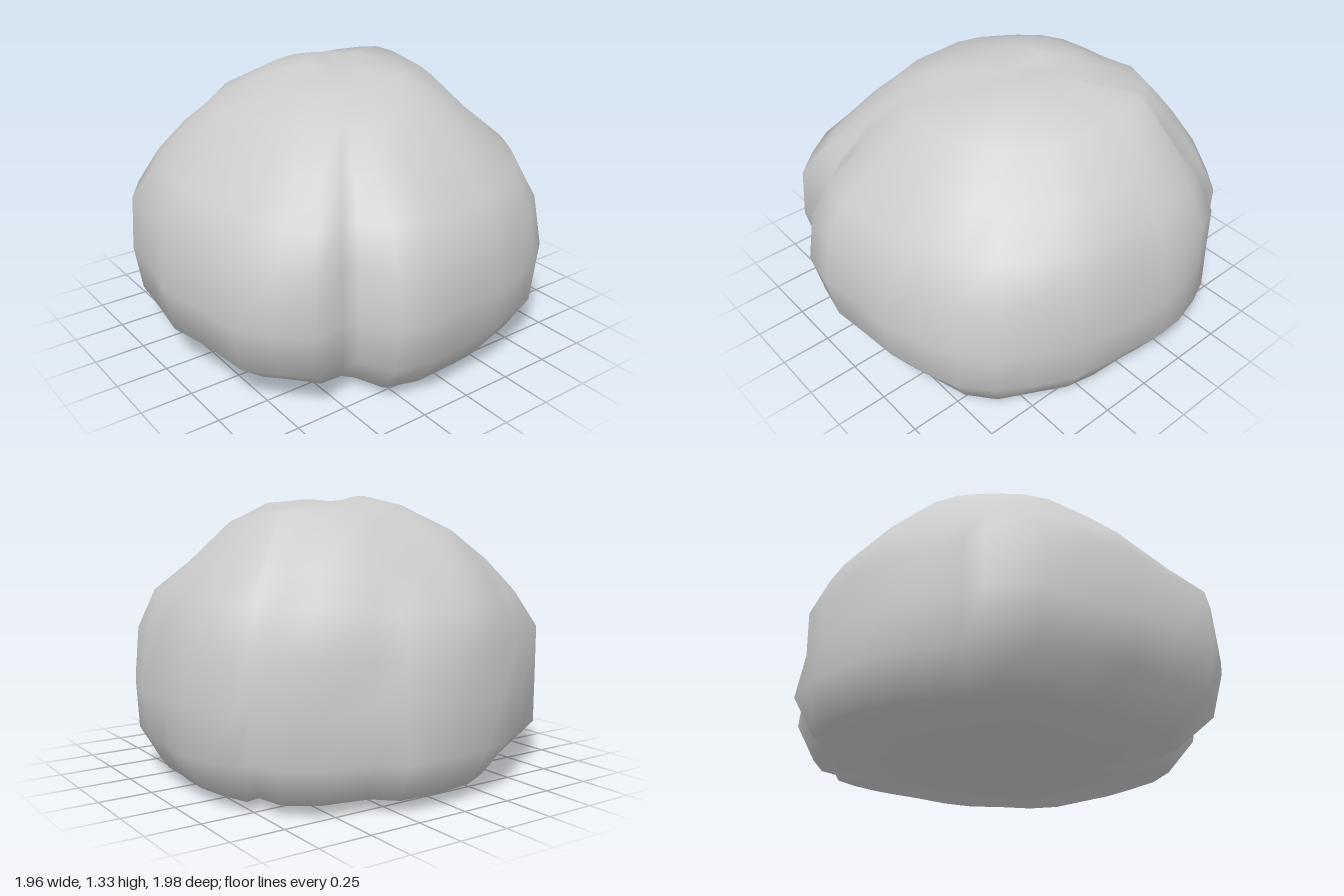
import * as THREE from 'three';

// widest outline of the boulder seen from above, [x, z]
const outline = [
  [0.96, 0], [0.98, -0.13], [0.975, -0.27], [0.93, -0.42], [0.87, -0.55], [0.80, -0.54],
  [0.77, -0.7], [0.63, -0.81], [0.38, -0.86], [0.28, -0.97], [0.05, -0.99], [-0.17, -0.95],
  [-0.35, -0.89], [-0.53, -0.8], [-0.69, -0.69], [-0.8, -0.66], [-0.93, -0.46], [-0.95, -0.22],
  [-0.98, 0], [-0.95, 0.25], [-0.92, 0.52], [-0.81, 0.67], [-0.7, 0.81], [-0.53, 0.77],
  [-0.46, 0.8], [-0.37, 0.95], [-0.17, 0.99], [0.05, 0.965], [0.23, 0.95], [0.42, 0.89],
  [0.6, 0.83], [0.74, 0.72], [0.83, 0.55], [0.91, 0.37], [0.94, 0.2],
];

// side profiles, bottom to top, [share of widest radius, y], for +x, +z, -x, -z
const profiles = [
  [[0.4, 0.03], [0.88, 0.07], [0.98, 0.24], [1, 0.46], [0.97, 0.74], [0.89, 0.92], [0.77, 1.06], [0.55, 1.25], [0.33, 1.32], [0.14, 1.34]],
  [[0.4, 0.02], [0.85, 0.06], [0.97, 0.24], [1, 0.47], [0.96, 0.7], [0.88, 0.87], [0.7, 1.06], [0.51, 1.23], [0.33, 1.3], [0.14, 1.33]],
  [[0.4, 0.02], [0.74, 0.07], [0.95, 0.22], [1, 0.45], [0.98, 0.75], [0.86, 0.91], [0.74, 1.06], [0.58, 1.19], [0.34, 1.29], [0.14, 1.33]],
  [[0.4, 0.03], [0.91, 0.08], [1, 0.26], [0.96, 0.47], [0.98, 0.68], [0.9, 0.87], [0.77, 1.03], [0.62, 1.19], [0.38, 1.32], [0.18, 1.35]],
];

// bumps and hollows: x, y, z, height, width
const lumps = [
  [0.5, 1.22, -0.35, 0.09, 0.2], [0.35, 1.15, -0.6, 0.07, 0.15], [0.5, 1.05, 0.3, -0.08, 0.2],
  [0.12, 1.33, -0.2, -0.03, 0.1], [-0.62, 1.05, 0.0, -0.04, 0.13], [-0.65, 0.9, 0.35, -0.06, 0.15],
  [-0.55, 0.04, 0.3, -0.04, 0.16], [-0.1, 0.65, 0.95, 0.02, 0.25], [-0.6, 0.08, 0.65, -0.06, 0.2],
  [0.55, 0.8, 0.7, -0.04, 0.18],
];

// blends the four profiles around the boulder
function profileAt(angle, ring) {
  const q = ((angle / (Math.PI / 2)) % 4 + 4) % 4;
  const i = Math.floor(q) % 4, t = q - Math.floor(q);
  const a = profiles[i][ring], b = profiles[(i + 1) % 4][ring];
  return [a[0] + (b[0] - a[0]) * t, a[1] + (b[1] - a[1]) * t];
}

function shapePoint(x, y, z) {
  const p = new THREE.Vector3(x, y, z);
  const out = new THREE.Vector3(x, y - 0.6, z).normalize();
  let push = 0.012 * Math.sin(9 * x + 4 * y) * Math.sin(8 * z - 5 * y);
  for (const [lx, ly, lz, height, width] of lumps) {
    const d2 = (x - lx) ** 2 + (y - ly) ** 2 + (z - lz) ** 2;
    push += height * Math.exp(-d2 / (width * width));
  }
  if (y < 0.15) push *= height01(y);
  p.addScaledVector(out, push);
  p.y = THREE.MathUtils.clamp(p.y, 0, 1.355);
  return p;
}

// fades the lumps out towards the flat underside
function height01(y) {
  return 0.4 + 4 * Math.max(y, 0);
}

export function createModel() {
  const group = new THREE.Group();
  const n = outline.length, rings = profiles[0].length;
  const positions = [], index = [];

  for (let r = 0; r < rings; r++) {
    for (const [ox, oz] of outline) {
      const angle = Math.atan2(oz, ox);
      const [share, y] = profileAt(angle, r);
      // folds soften towards the crown
      const soft = THREE.MathUtils.smoothstep(y, 0.7, 1.25);
      const wide = THREE.MathUtils.lerp(Math.hypot(ox, oz), 0.98, soft);
      const p = shapePoint(Math.cos(angle) * wide * share, y, Math.sin(angle) * wide * share);
      positions.push(p.x, p.y, p.z);
    }
  }

  // skin between rings (the outline runs anticlockwise from above)
  for (let r = 0; r < rings - 1; r++) {
    for (let i = 0; i < n; i++) {
      const j = (i + 1) % n;
      const a = r * n + i, b = r * n + j, c = a + n, d = b + n;
      index.push(a, b, d, a, d, c);
    }
  }

  // crown and underside
  const bottom = rings * n, top = bottom + 1, last = (rings - 1) * n;
  positions.push(0, 0.03, 0, 0, 1.32, 0);
  for (let i = 0; i < n; i++) {
    const j = (i + 1) % n;
    index.push(bottom, j, i, top, last + i, last + j);
  }

  const geometry = new THREE.BufferGeometry();
  geometry.setAttribute('position', new THREE.Float32BufferAttribute(positions, 3));
  geometry.setIndex(index);
  geometry.computeVertexNormals();

  const boulder = new THREE.Mesh(geometry, new THREE.MeshStandardMaterial({ color: 0xcccccc }));
  boulder.name = 'boulder';
  group.add(boulder);
  return group;
}
